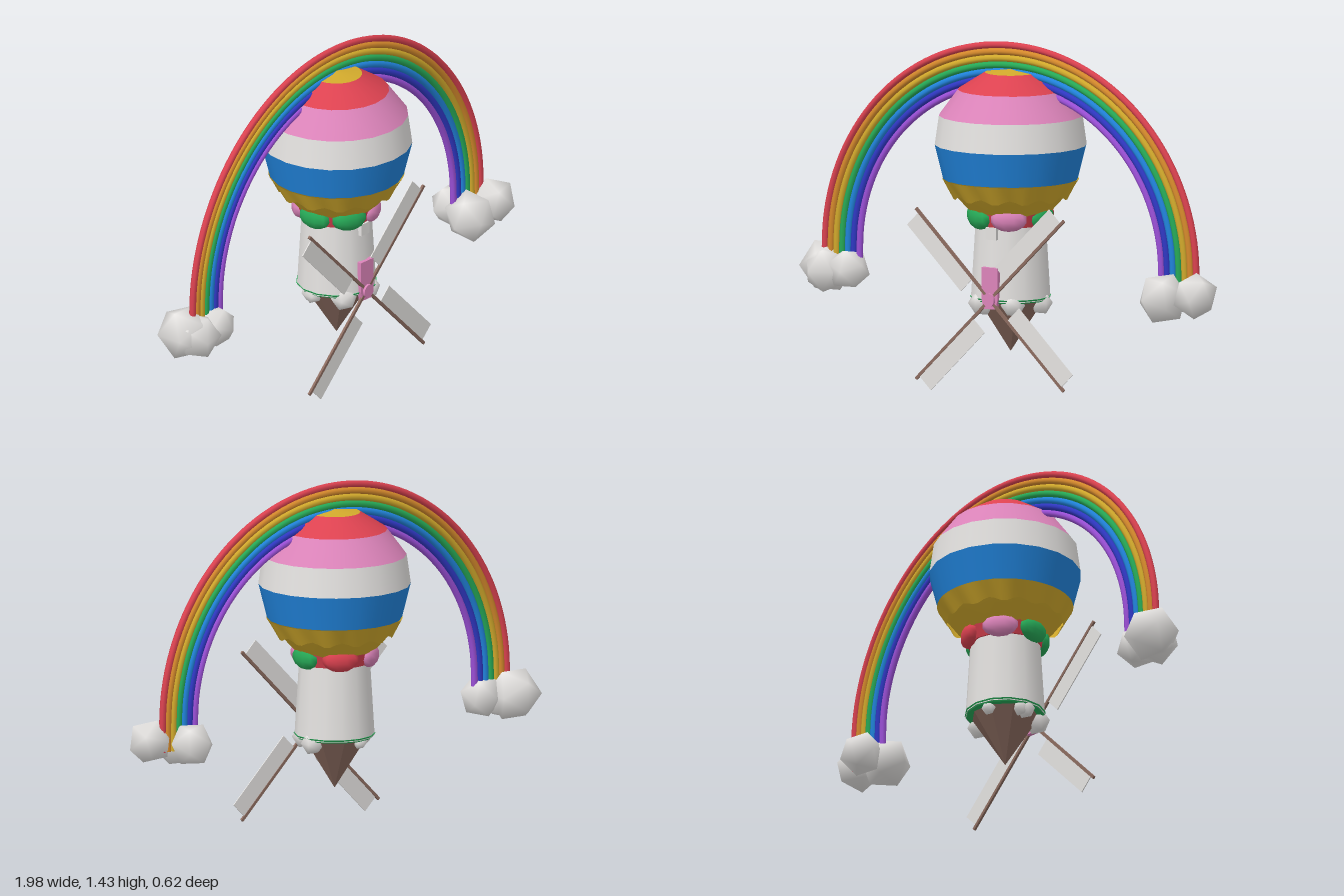
import * as THREE from 'three';
import { mergeVertices } from 'three/addons/utils/BufferGeometryUtils.js';

const mat = (name, color, side = THREE.FrontSide) => {
  const m = new THREE.MeshStandardMaterial({ color, side });
  m.name = name;
  return m;
};

export function createModel() {
  const white = mat('white', 0xe4e2e0, THREE.DoubleSide);
  const red = mat('red', 0xdc4250, THREE.DoubleSide);
  const pink = mat('pink', 0xdc84ba);
  const blue = mat('blue', 0x2184dc);
  const gold = mat('gold', 0xd2aa2c, THREE.DoubleSide);
  const green = mat('green', 0x27ab58);
  const orange = mat('orange', 0xd68a2c);
  const indigo = mat('indigo', 0x3038c4);
  const purple = mat('purple', 0x9c50d8);
  const brown = mat('brown', 0x8c6c60);

  const model = new THREE.Group();
  model.name = 'rainbowBalloonMill';
  const add = (name, geo, material, x = 0, y = 0, z = 0, parent = model) => {
    const m = new THREE.Mesh(geo, material);
    m.name = name;
    m.position.set(x, y, z);
    parent.add(m);
    return m;
  };
  const lathe = (pts, n) => new THREE.LatheGeometry(pts.map(p => new THREE.Vector2(...p)), n);

  // Soft-shaded icosahedron shared by clouds, puffs and bunting
  const raw = new THREE.IcosahedronGeometry(1, 0);
  raw.deleteAttribute('normal');
  raw.deleteAttribute('uv');
  const puff = mergeVertices(raw, 1e-4);
  puff.computeVertexNormals();

  // Striped envelope, one band per colour, from bottom to top
  const bands = [
    ['blueBand', blue, [[0.275, 0.88], [0.31, 1.02]]],
    ['whiteBand', white, [[0.31, 1.02], [0.293, 1.14]]],
    ['pinkBand', pink, [[0.293, 1.14], [0.215, 1.245]]],
    ['redBand', red, [[0.215, 1.245], [0.105, 1.315]]],
    ['goldCap', gold, [[0.105, 1.315], [0, 1.328]]],
  ];
  for (const [name, m, pts] of bands) add(name, lathe(pts, 20), m);

  // Gold underside with a scalloped ruffle
  add('goldBand', lathe([[0.16, 0.74], [0.215, 0.8], [0.275, 0.88]], 20), gold);
  const ruffle = lathe([[0.236, 0.808], [0.277, 0.878]], 60);
  const rp = ruffle.attributes.position;
  for (let i = 0; i < rp.count; i++) {
    if (rp.getY(i) > 0.85) continue;
    const a = Math.atan2(rp.getX(i), rp.getZ(i));
    rp.setY(i, 0.808 + 0.01 * Math.cos(a * 12));
  }
  ruffle.computeVertexNormals();
  add('goldRuffle', ruffle, gold);

  // Neck and drooping bunting
  add('neck', new THREE.CylinderGeometry(0.17, 0.15, 0.06, 16), red, 0, 0.725, 0);
  const bunting = [[-28, green], [28, pink], [90, green], [152, red], [218, pink], [275, green]];
  const drape = new THREE.SphereGeometry(1, 10, 7);
  for (const [deg, m] of bunting) {
    const a = THREE.MathUtils.degToRad(deg);
    const b = add('bunting', drape, m, Math.sin(a) * 0.148, 0.73, Math.cos(a) * 0.148);
    b.scale.set(0.075, 0.05, 0.036);
    b.rotation.y = a;
  }

  // Mill tower and pointed base
  add('tower', new THREE.CylinderGeometry(0.143, 0.163, 0.33, 14), white, 0, 0.555, 0);
  add('baseRing', new THREE.CylinderGeometry(0.166, 0.158, 0.014, 14), green, 0, 0.392, 0);
  const coneGeo = new THREE.CylinderGeometry(0.138, 0, 0.215, 9).toNonIndexed();
  coneGeo.computeVertexNormals();
  add('pointedBase', coneGeo, brown, 0, 0.2775, 0);
  for (const [deg, r] of [[35, 0.05], [-35, 0.055], [100, 0.05], [-95, 0.04], [195, 0.03], [255, 0.035]]) {
    const a = THREE.MathUtils.degToRad(deg);
    add('basePuff', puff, white, Math.sin(a) * 0.13, 0.375, Math.cos(a) * 0.13).scale.setScalar(r);
  }

  // Door and small window on the front
  const doorShape = new THREE.Shape();
  [[-0.028, -0.09], [0.028, -0.09], [0.038, -0.05], [0.038, 0.08], [-0.038, 0.08], [-0.038, -0.05]]
    .forEach(([x, y], i) => (i ? doorShape.lineTo(x, y) : doorShape.moveTo(x, y)));
  const door = new THREE.ExtrudeGeometry(doorShape, { depth: 0.02, bevelEnabled: false });
  add('door', door, pink, 0, 0.452, 0.147);
  add('window', new THREE.BoxGeometry(0.05, 0.05, 0.03), white, 0, 0.67, 0.142);

  // Sail wheel
  const wheel = new THREE.Group();
  wheel.name = 'sailWheel';
  wheel.position.set(0, 0.4, 0.163);
  model.add(wheel);
  const hub = new THREE.CylinderGeometry(0.028, 0.028, 0.04, 10).rotateX(Math.PI / 2);
  add('hub', hub, pink, 0, 0, -0.005, wheel);
  for (let i = 0; i < 4; i++) {
    const arm = new THREE.Group();
    arm.name = 'sailArm';
    arm.rotation.z = Math.PI / 4 + i * Math.PI / 2;
    wheel.add(arm);
    add('spar', new THREE.BoxGeometry(0.495, 0.012, 0.01), brown, 0.2475, 0, 0, arm);
    add('sail', new THREE.BoxGeometry(0.36, 0.075, 0.004), white, 0.295, 0.042, 0, arm);
  }

  // Rainbow: nested arcs with short straight feet
  const stripes = [['red', red], ['orange', orange], ['gold', gold], ['green', green],
    ['blue', blue], ['indigo', indigo], ['purple', purple]];
  stripes.forEach(([name, m], k) => {
    const r = 0.88 - k * 0.0275;
    const pts = [new THREE.Vector3(r, 0.43, 0)];
    for (let i = 0; i <= 24; i++) {
      const a = (i / 24) * Math.PI;
      pts.push(new THREE.Vector3(r * Math.cos(a), 0.545 + r * Math.sin(a), 0));
    }
    pts.push(new THREE.Vector3(-r, 0.43, 0));
    const tube = new THREE.TubeGeometry(new THREE.CatmullRomCurve3(pts), 72, 0.0138, 8);
    add(name + 'RainbowStripe', tube, m);
  });

  // Clouds at both feet: x, y, z, radius
  const clouds = [
    [-0.89, 0.45, -0.035, 0.115], [-0.865, 0.44, 0.01, 0.1], [-0.76, 0.45, 0.015, 0.09],
    [0.755, 0.45, 0.055, 0.108], [0.775, 0.46, -0.06, 0.092], [0.905, 0.47, 0.05, 0.096],
  ];
  clouds.forEach(([x, y, z, r], i) => {
    const c = add(x > 0 ? 'leftCloud' : 'rightCloud', puff, white, x, y, z);
    c.scale.setScalar(r);
    c.rotation.set(i * 0.7, i * 1.1, i * 0.4);
  });

  return model;
}
